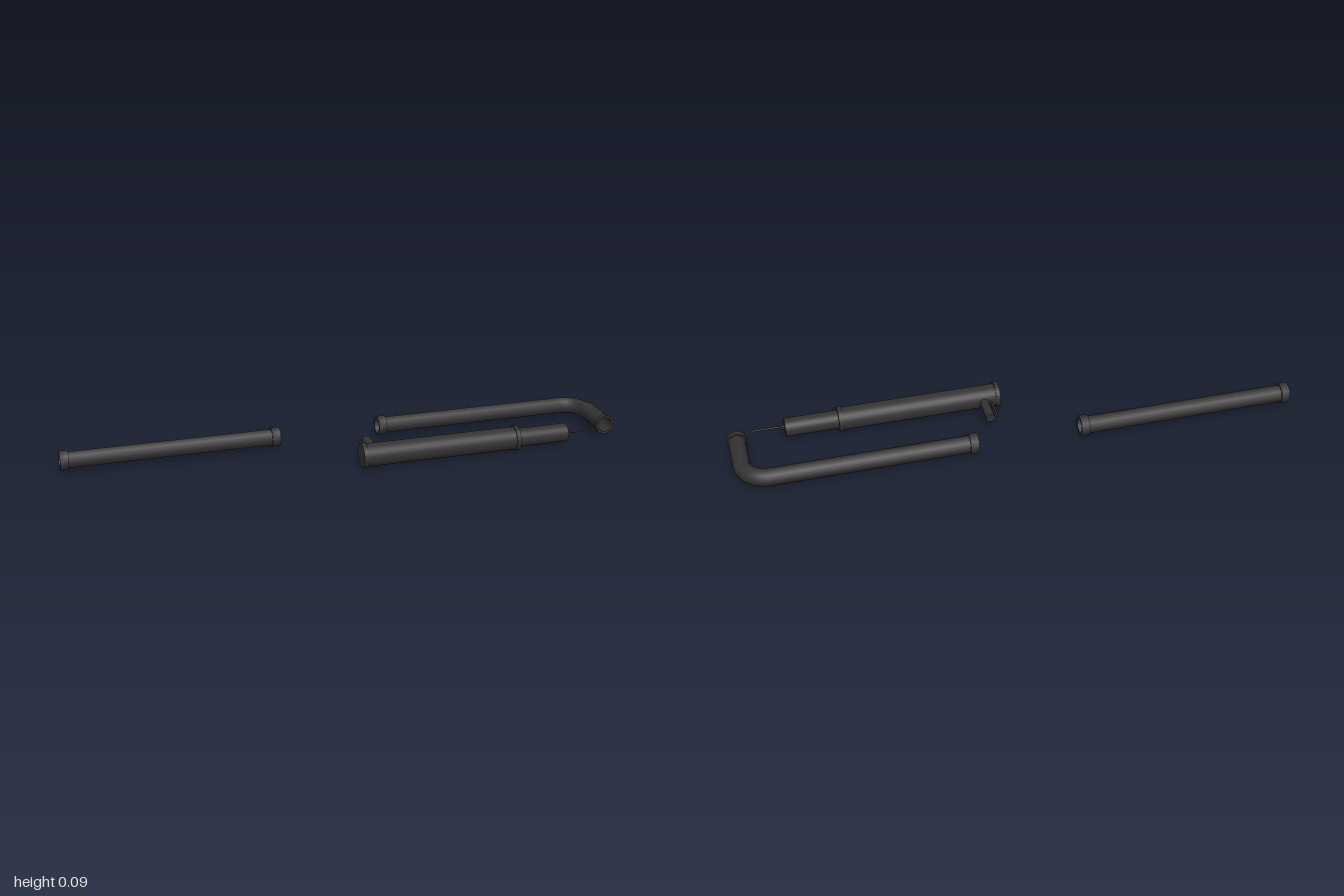
import * as THREE from 'three';
import { toCreasedNormals } from 'three/addons/utils/BufferGeometryUtils.js';

const Y = 0.045; // height of every pipe axis
const dark = new THREE.MeshStandardMaterial({ color: 0x333333, side: THREE.DoubleSide });
const v = (x, z, y = Y) => new THREE.Vector3(x, y, z);

function add(parent, name, geometry) {
  const mesh = new THREE.Mesh(geometry, dark);
  mesh.name = name;
  parent.add(mesh);
  return mesh;
}

// Solid cylinder between two x positions, or two z positions
function rod(parent, name, radius, a, b, across, axis = 'x', sides = 32, y = Y) {
  const g = new THREE.CylinderGeometry(radius, radius, b - a, sides);
  if (axis === 'x') g.rotateZ(-Math.PI / 2);
  else g.rotateX(Math.PI / 2);
  const mid = (a + b) / 2;
  add(parent, name, g).position.copy(axis === 'x' ? v(mid, across, y) : v(across, mid, y));
}

// Eight-sided ring that starts at the given point and runs along +x or +z
function collar(parent, position, axis) {
  const ring = (r) => Array.from({ length: 8 }, (_, i) =>
    new THREE.Vector2(r * Math.cos(i * Math.PI / 4), r * Math.sin(i * Math.PI / 4)));
  const shape = new THREE.Shape(ring(0.037));
  shape.holes.push(new THREE.Path(ring(0.028).reverse()));
  const g = new THREE.ExtrudeGeometry(shape, { depth: axis === 'x' ? 0.03 : 0.018, bevelEnabled: false });
  if (axis === 'x') g.rotateY(Math.PI / 2);
  add(parent, 'pipeCollar', toCreasedNormals(g, 0.9)).position.copy(position);
}

export function createModel() {
  const model = new THREE.Group();
  const zBack = -0.133, zFront = 0.126;

  // Straight open pipe with a collar at each end
  const straight = new THREE.Group();
  straight.name = 'straightPipe';
  add(straight, 'pipe', new THREE.TubeGeometry(new THREE.LineCurve3(v(-0.998, zBack), v(-0.217, zBack)), 1, 0.031, 8));
  collar(straight, v(-1, zBack), 'x');
  collar(straight, v(-0.245, zBack), 'x');
  model.add(straight);

  // Open pipe with an elbow
  const bent = new THREE.Group();
  bent.name = 'bentPipe';
  const xArm = 0.962, bend = 0.085;
  const path = new THREE.CurvePath();
  const a = v(xArm - bend, zBack), b = v(xArm, zBack + bend), k = bend * 0.55;
  path.add(new THREE.LineCurve3(v(0.157, zBack), a));
  path.add(new THREE.CubicBezierCurve3(a, v(a.x + k, a.z), v(b.x, b.z - k), b));
  path.add(new THREE.LineCurve3(b, v(xArm, 0.1)));
  add(bent, 'pipe', new THREE.TubeGeometry(path, 80, 0.031, 8));
  collar(bent, v(0.155, zBack), 'x');
  collar(bent, v(xArm, 0.084), 'z');
  model.add(bent);

  // Cylinder with end rims and a narrower neck
  const cylinder = new THREE.Group();
  cylinder.name = 'cylinder';
  rod(cylinder, 'body', 0.041, 0.02, 0.6, zFront);
  rod(cylinder, 'endRim', 0.045, 0.015, 0.031, zFront);
  rod(cylinder, 'neckRim', 0.045, 0.586, 0.602, zFront);
  rod(cylinder, 'neck', 0.033, 0.6, 0.79, zFront);

  // Side outlet and the thin tube beside it
  rod(cylinder, 'sideOutlet', 0.016, -0.008, 0.1, 0.076, 'z', 16);
  rod(cylinder, 'sideTube', 0.004, -0.008, 0.1, 0.05, 'z', 8);

  // Thin rod and catch at the end of the neck
  rod(cylinder, 'thinRod', 0.0035, 0.785, 0.905, 0.133, 'x', 8);
  rod(cylinder, 'catchPin', 0.003, 0.785, 0.812, 0.122, 'x', 8);
  rod(cylinder, 'catchBar', 0.003, 0.12, 0.136, 0.806, 'z', 8);
  model.add(cylinder);

  return model;
}
